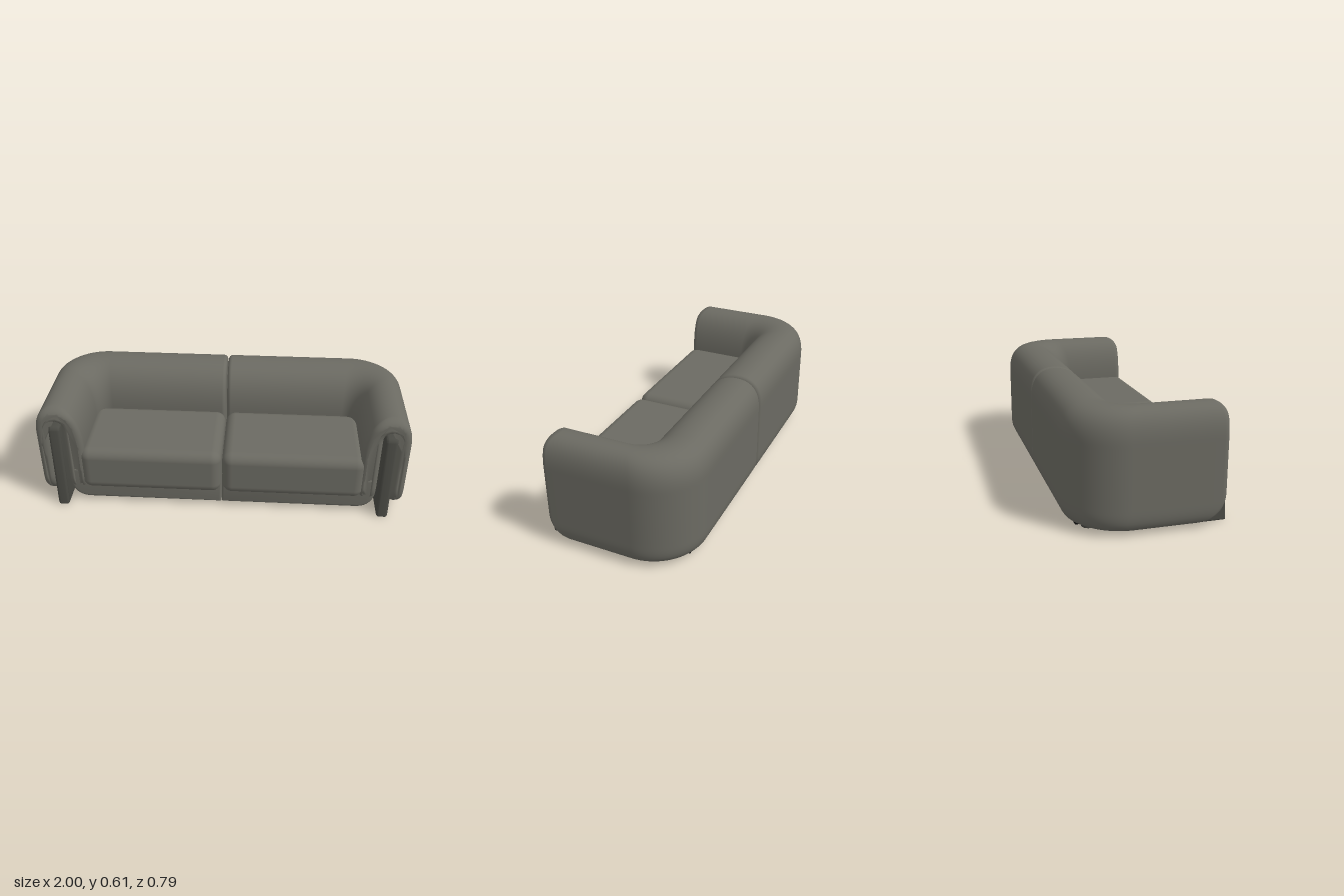
import * as THREE from 'three';
import { toCreasedNormals } from 'three/addons/utils/BufferGeometryUtils.js';
import { RoundedBoxGeometry } from 'three/addons/geometries/RoundedBoxGeometry.js';

const ARM = 0.25; // arm thickness, the unit width of the shell section

// Folded cross-section of arm and back: outer leg, slot, inner leg (x = distance from outside)
function shellSection() {
  const s = new THREE.Shape();
  s.moveTo(0, 0.12);
  s.lineTo(0, 0.45);
  s.bezierCurveTo(0, 0.56, 0.04, 0.61, 0.105, 0.61);
  s.bezierCurveTo(0.19, 0.61, 0.25, 0.53, 0.25, 0.36);
  s.lineTo(0.25, 0.1);
  s.quadraticCurveTo(0.25, 0.024, 0.2, 0.024);
  s.quadraticCurveTo(0.15, 0.024, 0.15, 0.08);
  s.lineTo(0.15, 0.48);
  s.bezierCurveTo(0.15, 0.545, 0.07, 0.545, 0.07, 0.48);
  s.lineTo(0.07, 0.07);
  s.quadraticCurveTo(0.07, 0.022, 0.05, 0.022);
  s.quadraticCurveTo(0, 0.022, 0, 0.12);
  const pts = s.getSpacedPoints(140);
  pts.pop();
  return pts;
}

// Stations from the centre seam, round the corner, to the arm front
function shellStations() {
  const list = [];
  const add = (ox, oz, ix, iz, inset = 0) => list.push({ ox, oz, ix, iz, inset });
  const steps = 6, seam = 0.022, nose = 0.03;
  for (let i = 0; i <= steps; i++) {
    const a = (i / steps) * Math.PI / 2;
    const x = 0.003 + seam * (1 - Math.cos(a));
    add(x, -0.395, x, -0.07, seam * (1 - Math.sin(a)));
  }
  for (const t of [0.3, 0.6]) add(0.72 * t, -0.395, 0.67 * t, -0.07);
  for (let i = 0; i <= 18; i++) {
    const a = (i / 18) * Math.PI / 2, s = Math.sin(a), c = Math.cos(a);
    add(0.72 + 0.28 * s, -0.115 - 0.28 * c, 0.67 + 0.08 * s, 0.01 - 0.08 * c);
  }
  for (const z of [0.06, 0.14, 0.22, 0.28]) add(1, z, 0.75, z);
  for (let i = 0; i <= steps; i++) {
    const a = (i / steps) * Math.PI / 2;
    const z = 0.36 - nose + nose * Math.sin(a);
    add(1, z, 0.75, z, nose * (1 - Math.cos(a)));
  }
  return list;
}

// How far the front of the arm is pulled back at height y
function frontCut(y) {
  const round = (t) => 1 - Math.sqrt(Math.max(0, 1 - t * t));
  if (y < 0.17) return 0.15 * round((0.17 - y) / 0.15);
  if (y > 0.54) return 0.05 * round((y - 0.54) / 0.072);
  return 0;
}

function shellGeometry(side) {
  const section = shellSection(), stations = shellStations(), n = section.length;
  const normals = section.map((p, j) => {
    const t = section[(j + 1) % n].clone().sub(section[(j + n - 1) % n]).normalize();
    return new THREE.Vector2(t.y, -t.x);
  });
  const pos = [], index = [];
  const tri = (a, b, c) => (side > 0 ? index.push(a, b, c) : index.push(a, c, b));
  for (const st of stations) {
    section.forEach((p, j) => {
      const u = (p.x + normals[j].x * st.inset) / ARM;
      const y = p.y + normals[j].y * st.inset;
      let z = THREE.MathUtils.lerp(st.oz, st.iz, u);
      if (z > 0) z *= 1 - frontCut(y) / 0.36;
      pos.push(side * THREE.MathUtils.lerp(st.ox, st.ix, u), y, z);
    });
  }
  for (let i = 0; i < stations.length - 1; i++) {
    for (let j = 0; j < n; j++) {
      const k = (j + 1) % n, a = i * n, b = a + n;
      tri(a + j, a + k, b + j);
      tri(b + j, a + k, b + k);
    }
  }
  // End caps
  const last = (stations.length - 1) * n;
  for (const f of THREE.ShapeUtils.triangulateShape(section, [])) {
    let [a, b, c] = f;
    if (THREE.ShapeUtils.area([section[a], section[b], section[c]]) < 0) [b, c] = [c, b];
    tri(a, b, c);
    tri(last + a, last + c, last + b);
  }
  const g = new THREE.BufferGeometry();
  g.setAttribute('position', new THREE.Float32BufferAttribute(pos, 3));
  g.setIndex(index);
  g.computeVertexNormals();
  return g;
}

// Half of the seat base, with a large rounded outer corner
function baseGeometry(side) {
  const b = 0.018, x0 = 0.002 + b, x1 = 0.848 - b, y0 = 0.022 + b, y1 = 0.2;
  const s = new THREE.Shape();
  s.moveTo(side * x0, y0);
  s.lineTo(side * (x1 - 0.09), y0);
  s.quadraticCurveTo(side * x1, y0, side * x1, y0 + 0.09);
  s.lineTo(side * x1, y1);
  s.lineTo(side * x0, y1);
  s.closePath();
  const g = new THREE.ExtrudeGeometry(s, {
    depth: 0.395 - 2 * b, bevelSize: b, bevelThickness: b, bevelSegments: 4, curveSegments: 12,
  });
  g.translate(0, 0, -0.05 + b);
  return toCreasedNormals(g, 0.7);
}

// Front leg blade with a runner along the floor, drawn from the side
function legGeometry() {
  const b = 0.015;
  const s = new THREE.Shape();
  s.moveTo(0.375, b);
  s.lineTo(0.359, 0.48);
  s.quadraticCurveTo(0.358, 0.497, 0.34, 0.497);
  s.lineTo(0.29, 0.497);
  s.lineTo(0.27, 0.05);
  s.lineTo(-0.035, 0.04);
  s.quadraticCurveTo(-0.03, 0.018, 0, b);
  s.closePath();
  const g = new THREE.ExtrudeGeometry(s, {
    depth: 0.034, bevelSize: b, bevelThickness: b, bevelSegments: 4, curveSegments: 8,
  });
  g.translate(0, 0, -0.017);
  g.rotateY(-Math.PI / 2);
  return toCreasedNormals(g, 0.7);
}

export function createModel() {
  const sofa = new THREE.Group();
  sofa.name = 'sofa';
  const material = (name, color) => {
    const m = new THREE.MeshStandardMaterial({ color });
    m.name = name;
    return m;
  };
  const fabric = material('greyFabric', 0x6b6a62);
  const dark = material('darkLeg', 0x4a4a44);
  const black = material('blackUnderside', 0x0a0a0a);
  const add = (name, geometry, mat, x = 0, y = 0, z = 0) => {
    const mesh = new THREE.Mesh(geometry, mat);
    mesh.name = name;
    mesh.position.set(x, y, z);
    sofa.add(mesh);
  };

  for (const side of [1, -1]) {
    const label = side > 0 ? 'left' : 'right';
    add(label + 'ArmAndBack', shellGeometry(side), fabric);
    add(label + 'SeatBase', baseGeometry(side), fabric);
    add(label + 'SeatCushion', new RoundedBoxGeometry(0.778, 0.26, 0.475, 6, 0.055), fabric,
      side * 0.391, 0.23, 0.1375);
    add(label + 'FrontLeg', legGeometry(), dark, side * 0.892, 0, 0);
    add(label + 'BackFoot', new THREE.CylinderGeometry(0.038, 0.035, 0.03, 24), dark,
      side * 0.81, 0.019, -0.275);
  }
  // Dark lining beneath the back
  add('undersideLining', new THREE.BoxGeometry(1.62, 0.006, 0.29), black, 0, 0.018, -0.195);
  return sofa;
}
